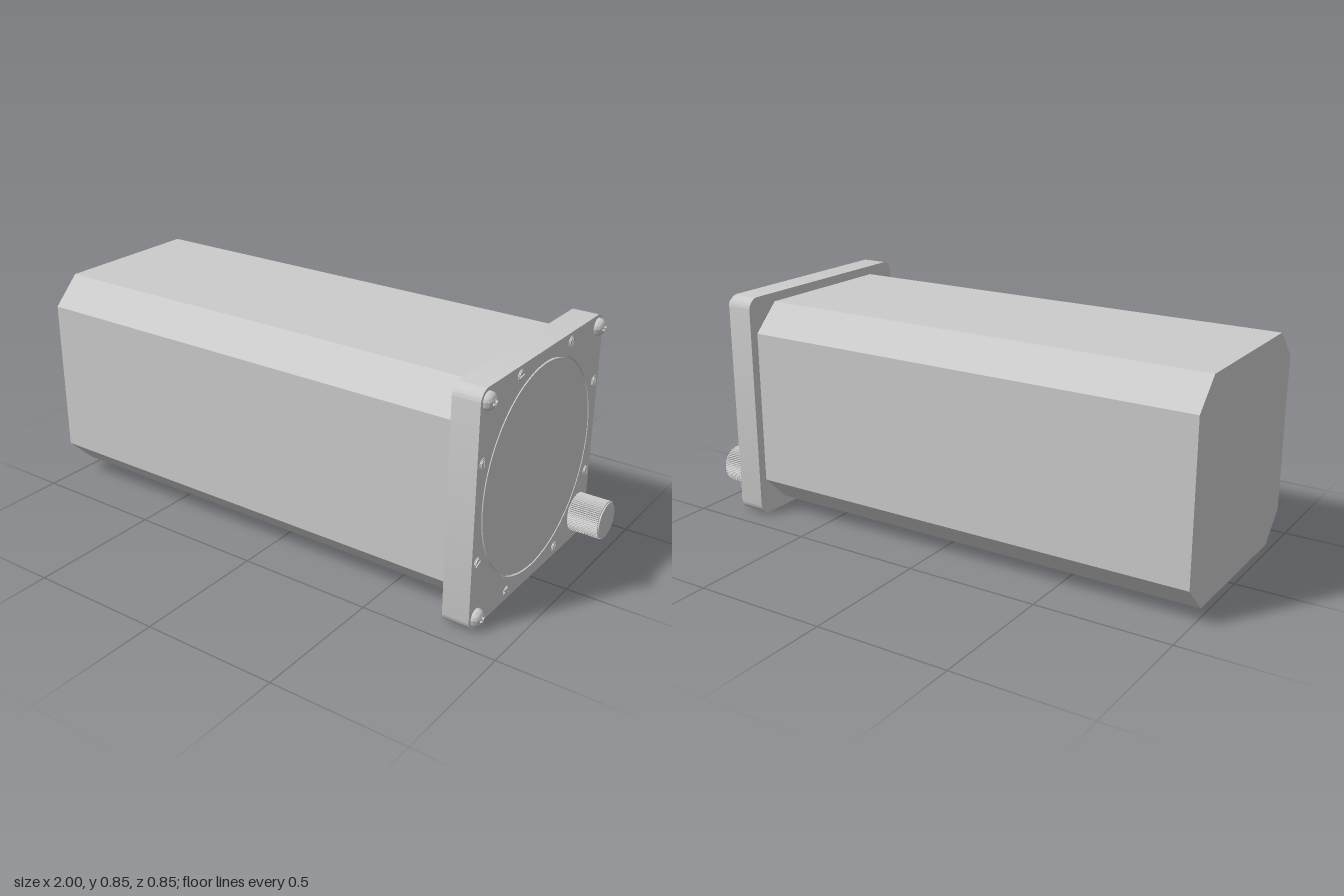
import * as THREE from 'three';
import { toCreasedNormals, mergeVertices } from 'three/addons/utils/BufferGeometryUtils.js';

const material = new THREE.MeshStandardMaterial({ color: 0xcccccc });
const H = 0.4265; // half the flange side, also the height of the axis
const FACE = 0.86; // front of the flange along the axis

function mesh(name, geometry, parent, crease = 0.6) {
  const m = new THREE.Mesh(toCreasedNormals(geometry, crease), material);
  m.name = name;
  parent.add(m);
  return m;
}

// Extrude a shape along the axis from z0 to z1
function prism(shape, z0, z1, curveSegments = 16) {
  return new THREE.ExtrudeGeometry(shape, { depth: z1 - z0, bevelEnabled: false, curveSegments })
    .translate(0, 0, z0);
}

// Revolve [radius, z] points around the axis
function turned(points, segments) {
  return new THREE.LatheGeometry(points.map(p => new THREE.Vector2(p[0], p[1])), segments)
    .rotateX(Math.PI / 2).scale(1, 1, 1);
}

function polygon(points) {
  return new THREE.Shape(points.map(p => new THREE.Vector2(p[0], p[1])));
}

function roundedSquare(h, r) {
  const s = new THREE.Shape();
  s.absarc(h - r, h - r, r, 0, Math.PI / 2);
  s.absarc(r - h, h - r, r, Math.PI / 2, Math.PI);
  s.absarc(r - h, r - h, r, Math.PI, Math.PI * 1.5);
  s.absarc(h - r, r - h, r, Math.PI * 1.5, Math.PI * 2);
  s.closePath();
  return s;
}

// Domed head with a sunk cross: rings blend from the cross outline to the rim
function crossHead() {
  const R = 0.031, w = 0.004, L = 0.015, floor = 0.014;
  const a = Math.atan2(w, L), q = Math.PI / 4;
  const steps = [0, a, a + (q - a) / 3, a + (q - a) * 2 / 3, q];
  const angles = [];
  for (let k = 0; k < 4; k++) {
    for (const s of steps) angles.push(k * 2 * q + s);
    for (let i = 3; i > 0; i--) angles.push((k + 1) * 2 * q - steps[i]);
  }
  const crossRadius = t => {
    const c = Math.abs(Math.cos(t)), s = Math.abs(Math.sin(t));
    return Math.min(L / Math.max(c, s), w / Math.max(Math.min(c, s), 1e-6));
  };
  const dome = r => 0.005 + 0.024 * Math.sqrt(Math.max(0, 1 - (r / R) ** 2));
  const rings = [() => [0, floor], t => [crossRadius(t), floor]];
  for (const f of [0, 0.25, 0.5, 0.7, 0.85, 0.95, 1]) {
    rings.push(t => {
      const r = crossRadius(t) * (1 - f) + R * f;
      return [r, dome(r)];
    });
  }
  rings.push(() => [R, 0]);
  const pos = [], index = [], n = angles.length;
  rings.forEach((ring, j) => angles.forEach((t, i) => {
    const [r, z] = ring(t);
    pos.push(r * Math.cos(t), r * Math.sin(t), z);
    if (j === 0) return;
    const k = (i + 1) % n, p = (j - 1) * n, c = j * n;
    if (j > 1) index.push(p + i, c + k, p + k);
    index.push(p + i, c + i, c + k);
  }));
  const g = new THREE.BufferGeometry();
  g.setAttribute('position', new THREE.Float32BufferAttribute(pos, 3));
  g.setIndex(index);
  return mergeVertices(g, 1e-6);
}

// Small flat screw: base disc, rim and two half-moons either side of the slot
function slottedScrew() {
  const group = new THREE.Group();
  group.name = 'slottedScrew';
  const base = new THREE.CylinderGeometry(0.0185, 0.0185, 0.002, 32).rotateX(Math.PI / 2);
  mesh('screwBase', base.translate(0, 0, 0.001), group);
  const rim = new THREE.Shape().absarc(0, 0, 0.0195, 0, Math.PI * 2);
  rim.holes.push(new THREE.Path().absarc(0, 0, 0.0175, 0, Math.PI * 2));
  mesh('screwRim', prism(rim, 0, 0.003), group);
  const a = Math.asin(0.0035 / 0.0155);
  for (const turn of [0, Math.PI]) {
    const half = new THREE.Shape().absarc(0, 0, 0.0155, a, Math.PI - a);
    half.closePath();
    mesh('screwHalf', prism(half, 0.001, 0.006), group).rotation.z = turn;
  }
  return group;
}

export function createModel() {
  const model = new THREE.Group();
  model.name = 'panelInstrument';

  // Everything is built along +z, then turned so the dial faces +x
  const unit = new THREE.Group();
  unit.name = 'instrument';
  unit.position.y = H;
  unit.rotation.y = Math.PI / 2;
  model.add(unit);

  // Long case with cut corners
  const b = 0.3925, c = 0.29;
  const octagon = polygon([[b, -c], [b, c], [c, b], [-c, b], [-b, c], [-b, -c], [-c, -b], [c, -b]]);
  mesh('case', prism(octagon, -1, 0.76), unit);

  // Square flange with a round opening
  const flange = roundedSquare(H, 0.045);
  flange.holes.push(new THREE.Path().absarc(0, 0, 0.382, 0, Math.PI * 2));
  mesh('flange', prism(flange, 0.76, FACE, 48), unit);

  // Dial disc, set off from the flange by a narrow groove
  const disc = (r, z0, z1) => new THREE.CylinderGeometry(r, r, z1 - z0, 96)
    .rotateX(Math.PI / 2).translate(0, 0, (z0 + z1) / 2);
  mesh('grooveFloor', disc(0.382, 0.77, FACE - 0.01), unit);
  mesh('dial', disc(0.375, 0.8, FACE), unit);

  // Domed corner screws
  const head = crossHead();
  [[1, 1, 0.4], [-1, 1, 0.2], [-1, -1, 0.25], [1, -1, 0]].forEach(([sx, sy, turn]) => {
    const screw = mesh('cornerScrew', head, unit);
    screw.position.set(sx * 0.384, sy * 0.384, FACE);
    screw.rotation.z = turn;
  });

  // Slotted screws, two along each edge
  const spots = [
    [-0.177, 0.394, 0.2], [0.177, 0.394, 1.8], [0.394, 0.176, 1.6], [0.394, -0.176, 1.85],
    [0.177, -0.394, 1.7], [-0.177, -0.394, -0.6], [-0.394, -0.176, 0.4], [-0.394, 0.176, 1.8],
  ];
  for (const [x, y, turn] of spots) {
    const screw = slottedScrew();
    screw.position.set(x, y, FACE);
    screw.rotation.z = turn;
    unit.add(screw);
  }

  // Knurled setting knob on a short shaft
  const knob = new THREE.Group();
  knob.name = 'knob';
  knob.position.set(0.3, 0.13 - H, 0);
  unit.add(knob);
  const shaft = new THREE.CylinderGeometry(0.022, 0.022, 0.04, 32).rotateX(Math.PI / 2);
  mesh('knobShaft', shaft.translate(0, 0, 0.87), knob);
  const core = new THREE.CylinderGeometry(0.0655, 0.0655, 0.123, 64).rotateX(Math.PI / 2);
  mesh('knobCore', core.translate(0, 0, 0.9385), knob);
  const teeth = 60, outline = [];
  for (let i = 0; i < teeth; i++) {
    [[0, 0.066], [0.3, 0.071], [0.65, 0.071], [0.95, 0.066]].forEach(([f, r]) => {
      const t = (i + f) / teeth * Math.PI * 2;
      outline.push([r * Math.cos(t), r * Math.sin(t)]);
    });
  }
  mesh('knobGrip', prism(polygon(outline), 0.88, 0.995), knob, 0.3);

  return model;
}
